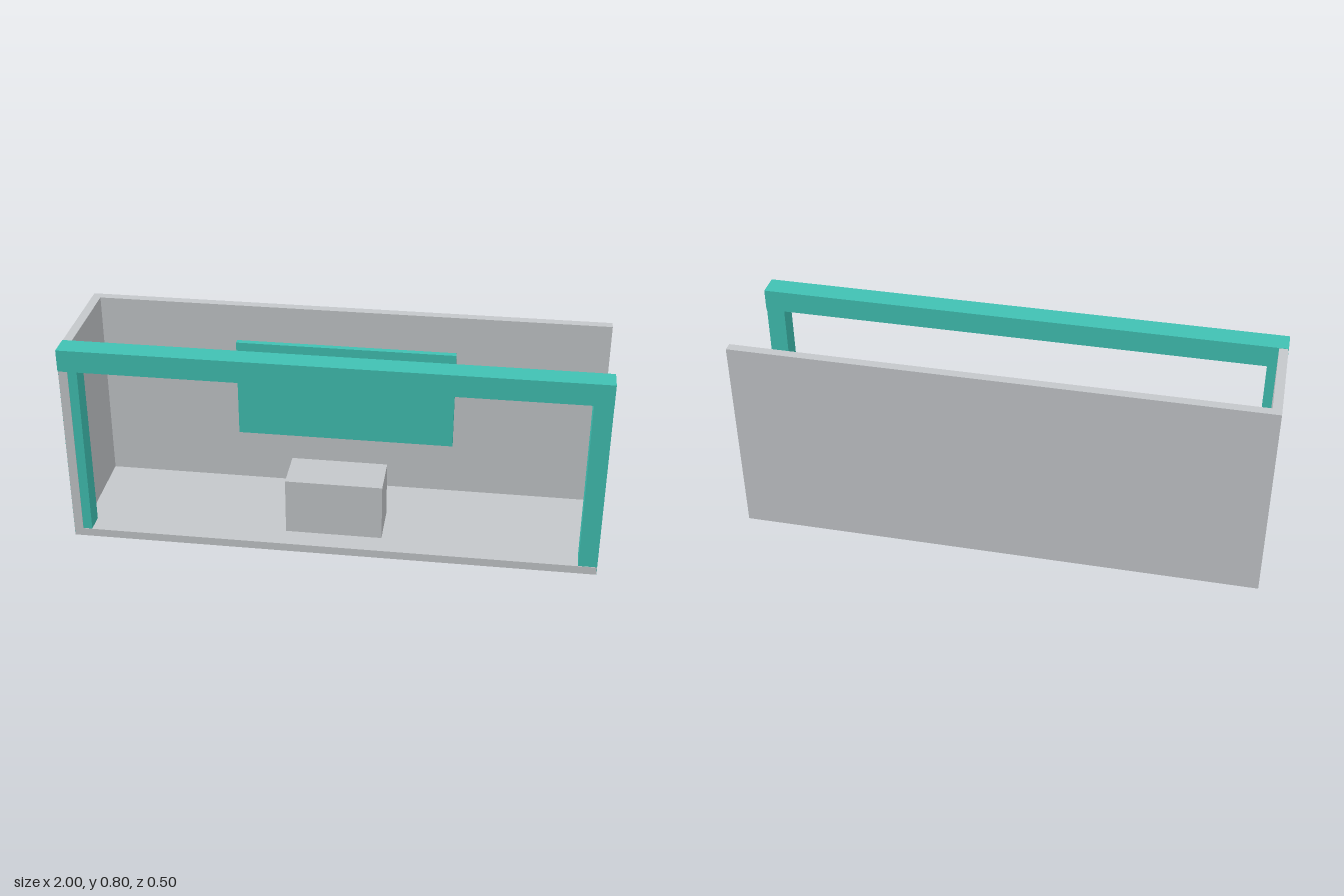
import * as THREE from 'three';

export function createModel() {
  const model = new THREE.Group();
  const material = (name, color) => {
    const m = new THREE.MeshStandardMaterial({ color });
    m.name = name;
    return m;
  };
  const grey = material('light grey', 0xc4c7ca);
  const teal = material('teal', 0x40c1b3);
  const slate = material('slate blue', 0x4a6580);

  // Box given by its extents along each axis
  const box = (name, mat, [x0, x1], [y0, y1], [z0, z1]) => {
    const mesh = new THREE.Mesh(new THREE.BoxGeometry(x1 - x0, y1 - y0, z1 - z0), mat);
    mesh.position.set((x0 + x1) / 2, (y0 + y1) / 2, (z0 + z1) / 2);
    mesh.name = name;
    model.add(mesh);
  };

  // Booth shell: floor, back wall and one side wall
  box('floor', grey, [-0.999, 0.999], [0.001, 0.033], [-0.252, 0.249]);
  box('backWall', grey, [-0.999, 0.999], [0.001, 0.799], [-0.252, -0.217]);
  box('sideWall', grey, [-0.999, -0.965], [0.001, 0.799], [-0.252, 0.249]);

  // Front frame: two posts and a header beam
  for (const [name, x] of [['rightPost', -0.965], ['leftPost', 0.965]]) {
    box(name, teal, [x - 0.035, x + 0.035], [0, 0.716], [0.171, 0.247]);
  }
  box('headerBeam', teal, [-1, 1], [0.715, 0.8], [0.165, 0.252]);

  // Wall display with its darker backing
  box('displayPanel', teal, [-0.425, 0.425], [0.265, 0.663], [-0.193, -0.17]);
  box('displayBacking', slate, [-0.41, 0.41], [0.285, 0.642], [-0.207, -0.193]);

  // Counter standing on the floor
  box('counter', grey, [-0.185, 0.185], [0.033, 0.257], [-0.013, 0.162]);

  return model;
}
